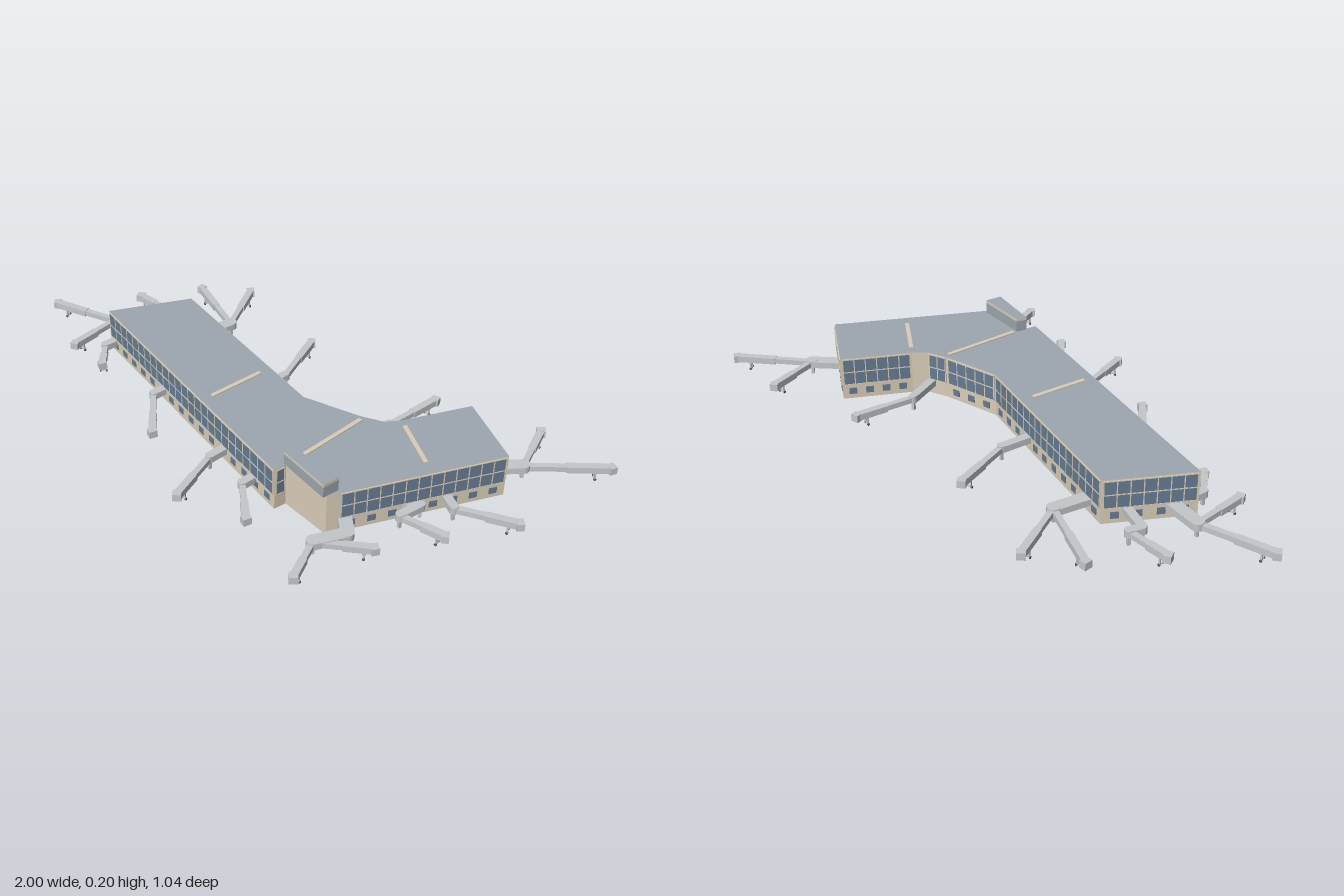
import * as THREE from 'three';
import { mergeGeometries } from 'three/addons/utils/BufferGeometryUtils.js';

const mat = (name, color, side = THREE.FrontSide) => {
  const m = new THREE.MeshStandardMaterial({ color, side });
  m.name = name;
  return m;
};

export function createModel() {
  const model = new THREE.Group();
  model.name = 'airportTerminal';
  const stone = mat('beige cladding', 0xdacdb8, THREE.DoubleSide);
  const glass = mat('blue glass', 0x667c93);
  const roofGrey = mat('roof grey', 0x9da6af, THREE.DoubleSide);
  const bridgeGrey = mat('bridge grey', 0xc3c7c9);
  const dark = mat('dark trim', 0x5c6063);

  const box = (w, h, d, x, y, z) => new THREE.BoxGeometry(w, h, d).translate(x, y, z);
  const add = (parent, name, geos, material) => {
    const m = new THREE.Mesh(Array.isArray(geos) ? mergeGeometries(geos) : geos, material);
    m.name = name;
    parent.add(m);
    return m;
  };
  const dist = (a, b) => Math.hypot(b[0] - a[0], b[1] - a[1]);
  // Group whose local x runs from a to b and whose local z points outward
  const along = (parent, name, a, b) => {
    const g = new THREE.Group();
    g.name = name;
    g.position.set(a[0], 0, a[1]);
    g.rotation.y = Math.atan2(a[1] - b[1], b[0] - a[0]);
    parent.add(g);
    return g;
  };

  // One wall, with an optional glazed upper floor and small ground floor windows
  function wall(a, b, { glazed = true, margin = 0.006, low = true } = {}) {
    const L = dist(a, b), g = along(model, 'wall', a, b);
    add(g, 'cladding', new THREE.PlaneGeometry(L, 0.152).translate(L / 2, 0.076, 0), stone);
    if (!glazed) return;
    const w = L - margin - 0.006, x0 = margin;
    add(g, 'glazing', box(w, 0.093, 0.002, x0 + w / 2, 0.1, 0.0015), glass);
    const n = Math.max(1, Math.round(w / 0.04)), bars = [];
    for (let i = 0; i <= n; i++) bars.push(box(0.0035, 0.094, 0.003, x0 + (w * i) / n, 0.1, 0.002));
    for (const y of [0.054, 0.1, 0.147]) bars.push(box(w, 0.0035, 0.003, x0 + w / 2, y, 0.002));
    add(g, 'mullions', bars, stone);
    if (!low) return;
    const k = Math.max(1, Math.round(w / 0.062)), panes = [];
    for (let i = 0; i < k; i++) panes.push(box(0.026, 0.023, 0.002, x0 + (w * (i + 0.5)) / k, 0.028, 0.0015));
    add(g, 'groundFloorWindows', panes, glass);
  }

  // Flat slab of roof over an outline of [x, z] points
  function roof(name, pts, y) {
    const shape = new THREE.Shape(pts.map(([x, z]) => new THREE.Vector2(x, -z)));
    add(model, name, new THREE.ShapeGeometry(shape).rotateX(-Math.PI / 2).translate(0, y, 0), roofGrey);
  }

  // Main hall: outline runs counter-clockwise seen from above
  const outline = [[-0.68, 0.03], [0.287, 0.29], [0.297, 0.25], [0.47, 0.275], [0.77, -0.21], [0.555, -0.34],
    [0.432, -0.14], [0.395, -0.1], [0.326, -0.075], [0.13, -0.034], [-0.52, -0.21]];
  const options = { 1: { low: false }, 2: { glazed: false }, 3: { margin: 0.045 }, 6: { glazed: false }, 7: { low: false } };
  outline.forEach((p, i) => wall(p, outline[(i + 1) % outline.length], options[i]));
  roof('mainRoof', outline, 0.152);

  // Raised rooftop room above the entrance, grey with a beige cornice
  const room = [[0.29, 0.25], [0.468, 0.29], [0.48, 0.235], [0.302, 0.216]];
  room.forEach((p, i) => {
    const q = room[(i + 1) % 4], L = dist(p, q), g = along(model, 'rooftopRoomWall', p, q);
    add(g, 'panel', new THREE.PlaneGeometry(L, 0.038).translate(L / 2, 0.171, 0), roofGrey);
    add(g, 'cornice', new THREE.PlaneGeometry(L, 0.01).translate(L / 2, 0.195, 0), stone);
  });
  roof('rooftopRoomRoof', room, 0.2);

  // Expansion ribs across the roof
  for (const [a, b] of [[[-0.055, -0.04], [-0.09, 0.15]], [[0.335, -0.06], [0.305, 0.205]], [[0.455, -0.122], [0.602, -0.025]]]) {
    const L = dist(a, b);
    add(along(model, 'roofRib', a, b), 'rib', box(L, 0.004, 0.014, L / 2, 0.154, 0), stone);
  }

  // Fixed corridor: wide box between two points, with a round joint at its end
  function corridor(a, b, w) {
    const L = dist(a, b);
    add(along(model, 'fixedCorridor', a, b), 'corridor', [
      box(L, 0.022, w, L / 2, 0.042, 0),
      new THREE.CylinderGeometry(w / 2, w / 2, 0.024, 12).translate(L, 0.042, 0),
      box(0.01, 0.032, 0.01, L, 0.016, 0),
    ], bridgeGrey);
  }

  // Telescopic boarding bridge: two nested tunnels, a cab and a wheeled support
  function bridge(a, b) {
    const L = dist(a, b), g = along(model, 'boardingBridge', a, b);
    add(g, 'tunnel', [
      box(L * 0.55, 0.018, 0.019, L * 0.275, 0.041, 0),
      box(L * 0.5, 0.022, 0.024, L * 0.72, 0.04, 0),
    ], bridgeGrey);
    const cab = add(g, 'cab', box(0.024, 0.025, 0.027, 0, 0, 0), bridgeGrey);
    cab.position.set(L - 0.008, 0.039, 0);
    cab.rotation.y = 0.4;
    const x = L * 0.8, legs = [box(0.006, 0.004, 0.02, x, 0.007, 0)], wheels = [];
    for (const s of [-1, 1]) {
      legs.push(box(0.005, 0.026, 0.005, x, 0.019, s * 0.007));
      wheels.push(new THREE.CylinderGeometry(0.0045, 0.0045, 0.004, 10).rotateX(Math.PI / 2).translate(x, 0.0045, s * 0.01));
    }
    add(g, 'supportLegs', legs, bridgeGrey);
    add(g, 'wheels', wheels, dark);
  }

  // Each gate: corridor points from the building, then the bridge ends fanning from the last one
  const gates = [
    [[[-0.62, -0.03], [-0.745, -0.05]], [[-0.99, 0.01], [-0.745, 0.148]]],
    [[[-0.56, -0.145], [-0.655, -0.18], [-0.64, -0.22]], [[-0.795, -0.22]]],
    [[[-0.45, -0.18], [-0.418, -0.3]], [[-0.66, -0.407], [-0.507, -0.512]]],
    [[[-0.095, -0.09], [-0.077, -0.195]], [[-0.135, -0.41]]],
    [[[0.385, -0.09], [0.342, -0.21]], [[0.38, -0.42]]],
    [[[0.69, -0.24], [0.77, -0.315]], [[0.722, -0.505], [0.985, -0.49]]],
    [[[0.665, -0.05], [0.715, -0.02]], [[0.905, -0.093]]],
    [[[0.59, 0.06], [0.635, 0.035], [0.615, 0.11]], [[0.77, 0.092]]],
    [[[0.5, 0.225], [0.545, 0.27], [0.49, 0.36]], [[0.645, 0.26], [0.538, 0.507]]],
    [[[0.18, 0.25], [0.173, 0.305]], [[0.288, 0.417]]],
    [[[0.025, 0.21], [0.016, 0.28]], [[0.06, 0.475]]],
    [[[-0.33, 0.12], [-0.338, 0.167]], [[-0.2, 0.312]]],
    [[[-0.65, 0.04], [-0.657, 0.08]], [[-0.585, 0.165]]],
  ];
  for (const [path, ends] of gates) {
    const w = ends.length > 1 ? 0.042 : 0.028;
    for (let i = 1; i < path.length; i++) corridor(path[i - 1], path[i], w);
    ends.forEach((e) => bridge(path[path.length - 1], e));
  }
  return model;
}
